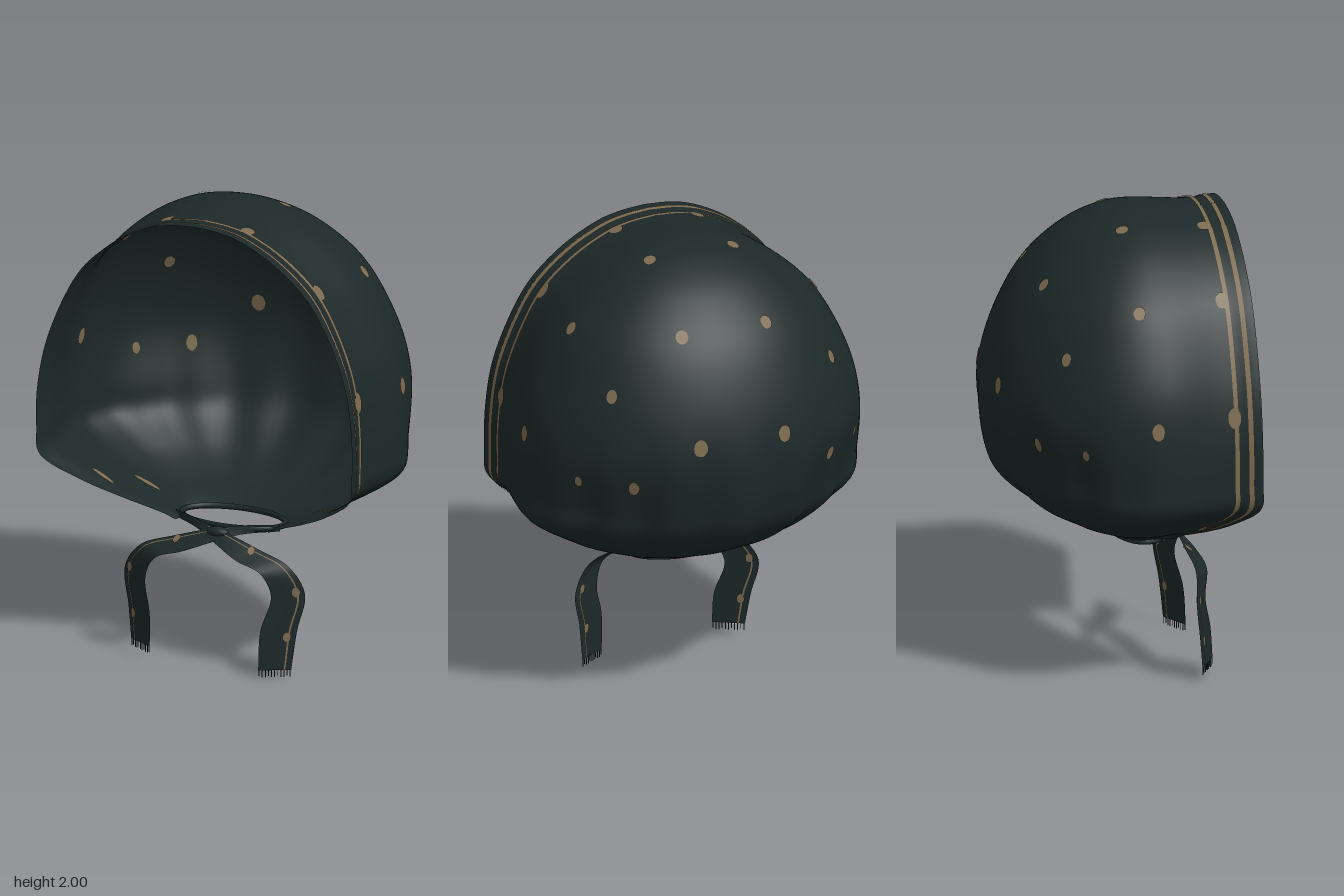
import * as THREE from 'three';
import { ParametricGeometry } from 'three/addons/geometries/ParametricGeometry.js';

const V = (x, y, z) => new THREE.Vector3(x, y, z);
const { smoothstep, clamp } = THREE.MathUtils;
const cloth = new THREE.MeshStandardMaterial({ color: 0x1d2929, side: THREE.DoubleSide });
cloth.name = 'dark green cloth';
const gold = new THREE.MeshStandardMaterial({ color: 0x7c6a4e, side: THREE.DoubleSide });
gold.name = 'dull gold trim';

// Hood levels from neck to crown: height, half width, back z, front z, z of widest point
const LEVELS = [
  [0.585, 0.22, 0.02, 0.26, 0.14], [0.62, 0.28, -0.06, 0.29, 0.13], [0.68, 0.43, -0.2, 0.35, 0.1],
  [0.76, 0.59, -0.33, 0.43, 0.08], [0.87, 0.74, -0.445, 0.515, 0.08], [1.0, 0.76, -0.5, 0.52, 0.1],
  [1.2, 0.755, -0.525, 0.52, 0.1], [1.4, 0.72, -0.495, 0.52, 0.1], [1.6, 0.635, -0.42, 0.52, 0.1],
  [1.75, 0.535, -0.325, 0.52, 0.1], [1.88, 0.385, -0.19, 0.52, 0.11], [1.96, 0.235, -0.05, 0.52, 0.12],
  [1.99, 0.12, 0.05, 0.52, 0.13], [2.0, 0, 0.15, 0.52, 0.15],
];
const bodyCurve = new THREE.CatmullRomCurve3(LEVELS.map(l => V(l[1], l[0], l[2])), false, 'catmullrom', 0.5);
const rimCurve = new THREE.CatmullRomCurve3(LEVELS.map(l => V(l[3], l[0], l[4])), false, 'catmullrom', 0.5);
const BACK = 0.6; // share of each U-shaped section taken by the rounded back

// Point on the hood: t runs neck to crown, q runs from one front edge (-1) round to the other (1)
function hoodPoint(t, q) {
  const b = bodyCurve.getPoint(t), r = rimCurve.getPoint(t);
  const w = Math.max(0, b.x), side = Math.sign(q), k = Math.abs(q);
  if (k <= BACK) {
    // Gathered folds low at the back, with the cloth pulled in at the back corners
    const a = (q / BACK) * Math.PI / 2;
    const low = smoothstep(b.y, 0.58, 0.8) * (1 - smoothstep(b.y, 0.85, 1.45));
    const pull = smoothstep(b.y, 0.6, 0.85) * (1 - smoothstep(b.y, 0.92, 1.3));
    const fold = 1 + 0.02 * low * Math.cos(a) * Math.cos(16 * a) - 0.075 * pull * Math.sin(2 * a) ** 2;
    return V(w * Math.sin(a) * fold, b.y, r.z - (r.z - b.z) * Math.cos(a) * fold);
  }
  // Sides draw in a little towards the hem, then flare at the edge; the right side draws in more
  const f = (k - BACK) / (1 - BACK);
  const lean = side < 0 ? 0.02 * smoothstep(b.y, 1.1, 1.5) * smoothstep(f, 0, 0.75) : 0;
  const draw = 0.055 * smoothstep(f, 0, 0.75) - 0.022 * smoothstep(f, 0.75, 1);
  const dip = 0.35 * draw * smoothstep(b.y, 1.7, 2);
  return V(side * w * (1 - draw - lean), b.y - dip, r.z + (r.x - r.z) * f);
}

function hoodNormal(t, q) {
  const tt = clamp(t, 0.005, 0.985), qq = clamp(q, -0.99, 0.99), e = 0.004;
  const du = hoodPoint(tt + e, qq).sub(hoodPoint(tt - e, qq));
  const dv = hoodPoint(tt, qq + e).sub(hoodPoint(tt, qq - e));
  const n = du.cross(dv).normalize();
  return n.dot(hoodPoint(tt, qq).sub(V(0, 1.2, 0.2))) < 0 ? n.negate() : n;
}

function surface(fn, nu, nv) {
  const g = new ParametricGeometry((u, v, out) => out.copy(fn(u, v)), nu, nv);
  g.computeVertexNormals();
  return g;
}

function add(parent, name, geometry, material) {
  const m = new THREE.Mesh(geometry, material);
  m.name = name;
  parent.add(m);
  return m;
}

// Flat oval spot lying on a surface
function addSpot(parent, name, p, n, rx, ry) {
  const s = add(parent, name, new THREE.CircleGeometry(1, 14), gold);
  s.scale.set(rx, ry, 1);
  s.position.copy(p);
  s.lookAt(p.clone().add(n));
}

// Hood parameters nearest to a point
function nearest(target) {
  let best = Infinity, hit = [0, 0];
  for (let i = 0; i <= 130; i++) for (let j = 0; j <= 100; j++) {
    const d = hoodPoint(i / 130, j / 100).distanceToSquared(target);
    if (d < best) { best = d; hit = [i / 130, j / 100]; }
  }
  return hit;
}

// Tie ends: two edges of one ribbon, starting behind the knot
const OUTER = [[-0.24, 0.608, 0.2], [-0.1, 0.605, 0.27], [0.05, 0.575, 0.3], [0.2, 0.53, 0.315],
  [0.345, 0.475, 0.32], [0.412, 0.36, 0.305], [0.385, 0.2, 0.325], [0.365, 0.03, 0.34]];
const INNER = [[-0.24, 0.578, 0.2], [-0.1, 0.568, 0.28], [0.01, 0.535, 0.34], [0.13, 0.49, 0.385],
  [0.245, 0.45, 0.39], [0.285, 0.35, 0.37], [0.25, 0.2, 0.4], [0.245, 0.03, 0.41]];

function buildTie(side) {
  const g = new THREE.Group();
  g.name = side > 0 ? 'leftTie' : 'rightTie';
  const lift = side > 0 ? 0 : 0.03;
  const edge = pts => new THREE.CatmullRomCurve3(pts.map(([x, y, z], i) =>
    V(side * (x + (i > 4 ? lift * 0.5 : 0)), y + (i === 7 ? lift : 0), z + (side < 0 && i < 4 ? -0.008 : 0))));
  const outer = edge(OUTER), inner = edge(INNER);
  const point = (t, f) => outer.getPoint(t).lerp(inner.getPoint(t), f);
  const normal = t => {
    const a = Math.min(t, 0.99);
    return point(a + 0.01, 0.5).sub(point(a, 0.5)).cross(point(t, 1).sub(point(t, 0))).normalize();
  };
  add(g, 'ribbon', surface((u, v) => point(u, v), 48, 4), cloth);
  for (const off of [0.004, -0.004]) {
    add(g, 'ribbonStripe', surface((u, v) =>
      point(0.2 + u * 0.8, 0.18 + v * 0.05).addScaledVector(normal(0.2 + u * 0.8), off), 40, 1), gold);
    for (const t of [0.42, 0.7, 0.88]) {
      const n = normal(t).multiplyScalar(Math.sign(off));
      addSpot(g, 'ribbonSpot', point(t, 0.25).addScaledVector(n, 0.006), n, 0.017, 0.022);
    }
  }
  // Frayed threads at the end
  for (let i = 0; i < 11; i++) {
    const h = i % 3 === 1 ? 0.022 : 0.028;
    const thread = add(g, 'fringeThread', new THREE.BoxGeometry(0.003, h + 0.004, 0.003), cloth);
    thread.position.copy(point(1, 0.03 + i * 0.094)).y -= h / 2;
  }
  return g;
}

export function createModel() {
  const model = new THREE.Group();
  model.name = 'tiedHood';

  add(model, 'hood', surface((u, v) => hoodPoint(u, v * 2 - 1), 78, 120), cloth);

  // Two stripes following the front edge
  for (const side of [1, -1]) for (const [near, far] of [[0.038, 0.058], [0.098, 0.117]]) {
    add(model, 'hemStripe', surface((u, v) => {
      const t = 0.06 + u * 0.94, r = rimCurve.getPoint(t);
      const reach = Math.min(1, (r.x - r.z) / 0.3);
      const f = 1 - (near + (far - near) * v) * reach / (r.x - r.z);
      const q = side * (BACK + (1 - BACK) * f);
      return hoodPoint(t, q).addScaledVector(hoodNormal(t, q), 0.004);
    }, 70, 2), gold);
  }

  // Mirrored spots: x, y, z, half width, half height, and whether they also show inside
  const spots = [
    [0.19, 1.76, -0.31, 0.027, 0.031, 1], [0.185, 1.32, -0.5, 0.03, 0.038, 1],
    [0.51, 1.53, -0.29, 0.023, 0.03, 1], [0.455, 1.14, -0.38, 0.023, 0.034, 1],
    [0.62, 1.13, -0.21, 0.017, 0.025, 1], [0.195, 1.97, 0.035, 0.028, 0.028, 1],
    [0.565, 1.745, 0.025, 0.026, 0.031, 1], [0.75, 1.27, 0.07, 0.027, 0.037, 1],
    [0.42, 0.67, 0.12, 0.017, 0.065, 1], [0.53, 0.74, 0.31, 0.017, 0.055, 1],
    [0.19, 1.96, 0.39, 0.032, 0.03, 0], [0.52, 1.73, 0.39, 0.028, 0.038, 0],
    [0.71, 1.29, 0.4, 0.028, 0.045, 0],
  ];
  for (const [x, y, z, rx, ry, inside] of spots) {
    const [t, q] = nearest(V(x, y, z));
    for (const side of [1, -1]) {
      const p = hoodPoint(t, q * side), n = hoodNormal(t, q * side);
      addSpot(model, 'spot', p.clone().addScaledVector(n, 0.005), n, rx, ry);
      if (inside) addSpot(model, 'innerSpot', p.clone().addScaledVector(n, -0.005), n.clone().negate(), rx, ry);
    }
  }

  // Gathered band round the neck opening, with the knot and ties in front
  const band = add(model, 'neckBand', new THREE.TorusGeometry(1, 0.06, 8, 48), cloth);
  band.rotation.x = Math.PI / 2;
  band.scale.set(0.235, 0.125, 0.22);
  band.position.set(0, 0.59, 0.14);
  const knot = add(model, 'knot', new THREE.SphereGeometry(1, 16, 10), cloth);
  knot.scale.set(0.05, 0.022, 0.03);
  knot.position.set(0, 0.572, 0.29);
  model.add(buildTie(1), buildTie(-1));
  return model;
}
